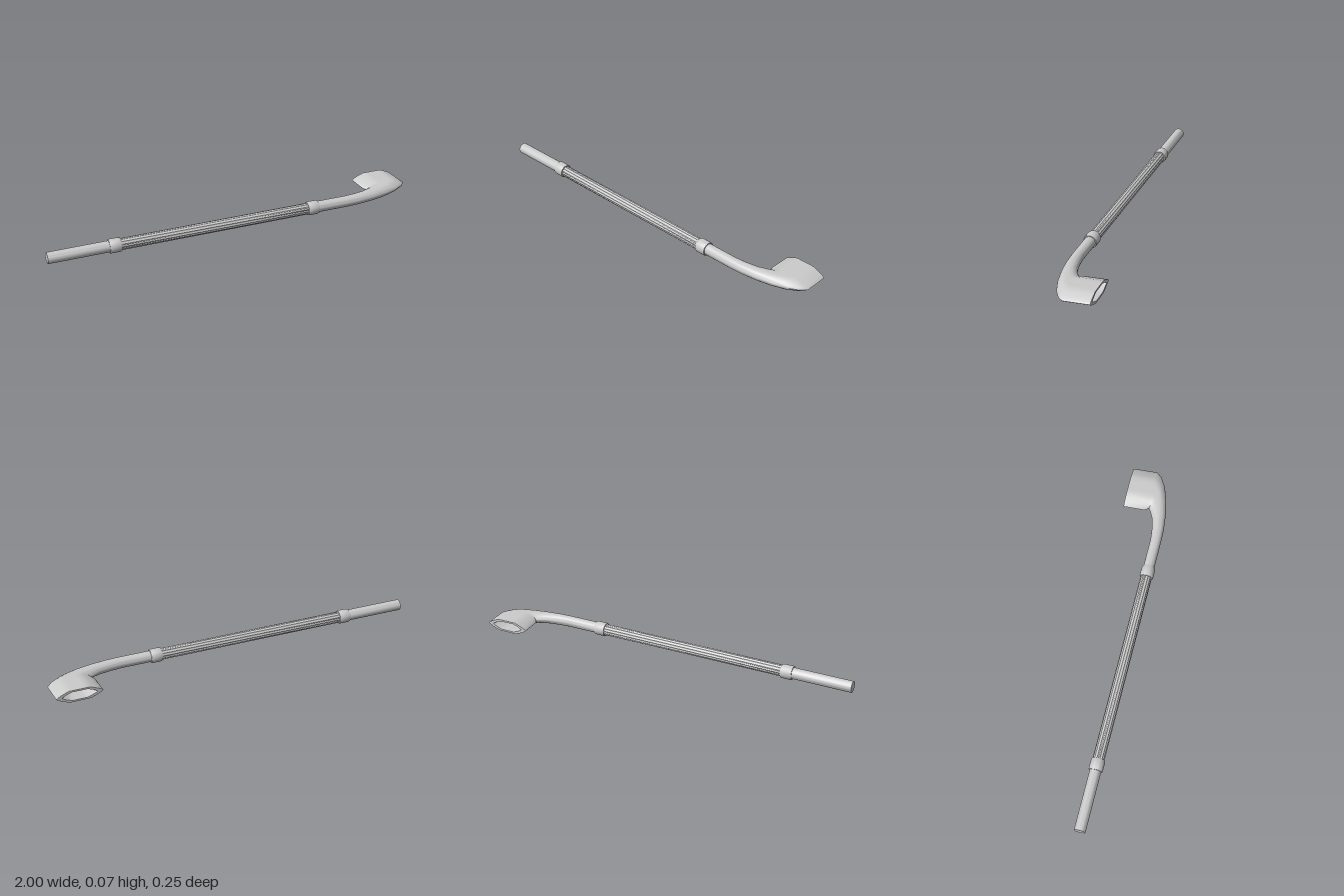
import * as THREE from 'three';
import { toCreasedNormals } from 'three/addons/utils/BufferGeometryUtils.js';

const AXIS_Y = 0.036, AXIS_Z = 0.09, R = 0.029;
const material = new THREE.MeshStandardMaterial({ color: 0xcccccc });

function add(group, name, geometry) {
  const mesh = new THREE.Mesh(toCreasedNormals(geometry, 0.6), material);
  mesh.name = name;
  group.add(mesh);
  return mesh;
}

// Turned part lying along x; profile is [radius, x] pairs
function turned(profile, sides = 24) {
  const pts = profile.map(([r, x]) => new THREE.Vector2(r, x));
  const g = new THREE.LatheGeometry(pts, sides);
  g.rotateZ(-Math.PI / 2);
  g.translate(0, AXIS_Y, AXIS_Z);
  return g;
}

// Loft through sections [ax, az, bx, bz, halfHeight, pointedness],
// where a and b are the inner and outer ends in plan
function loft(sections, sides = 28) {
  const pos = [], index = [];
  for (const [ax, az, bx, bz, h, p] of sections) {
    for (let j = 0; j < sides; j++) {
      const t = (j / sides) * Math.PI * 2;
      const u = Math.cos(t), s = Math.sin(t);
      const lens = Math.min(1, Math.pow(Math.max(0, 1 - Math.abs(u)) / 0.55, 0.75));
      const y = h * ((1 - p) * s + p * Math.sign(s) * lens);
      pos.push((ax + bx) / 2 + (u * (bx - ax)) / 2, AXIS_Y + y, (az + bz) / 2 + (u * (bz - az)) / 2);
    }
  }
  for (let i = 0; i < sections.length - 1; i++) {
    for (let j = 0; j < sides; j++) {
      const k = (j + 1) % sides;
      const a = i * sides + j, b = i * sides + k;
      const c = a + sides, d = b + sides;
      index.push(a, c, b, b, c, d);
    }
  }
  const g = new THREE.BufferGeometry();
  g.setAttribute('position', new THREE.Float32BufferAttribute(pos, 3));
  g.setIndex(index);
  return g;
}

export function createModel() {
  const group = new THREE.Group();
  group.name = 'pipe';

  // Mouthpiece with a closed flat end
  add(group, 'mouthpiece', turned([[0, -1], [R, -1], [R, -0.64]]));

  // Middle stem with shallow lengthwise ridges and a slight twist
  const stem = new THREE.CylinderGeometry(1, 1, 1.06, 28, 1, true);
  const p = stem.attributes.position;
  for (let i = 0; i < p.count; i++) {
    const col = i % 29;
    const r = col % 2 ? R - 0.002 : R + 0.001;
    const a = (col / 28) * Math.PI * 2 + (p.getY(i) > 0 ? 0.12 : 0);
    p.setXYZ(i, r * Math.sin(a), p.getY(i), r * Math.cos(a));
  }
  stem.rotateZ(-Math.PI / 2);
  stem.translate(-0.125, AXIS_Y, AXIS_Z);
  add(group, 'middleStem', stem);

  // Collars covering the two joints
  for (const [name, x] of [['rearCollar', -0.66], ['frontCollar', 0.41]]) {
    add(group, name, turned([
      [0.027, x - 0.03], [0.034, x - 0.03], [0.036, x - 0.024],
      [0.036, x + 0.024], [0.034, x + 0.03], [0.027, x + 0.03],
    ]));
  }

  // Curved shank flowing into the pointed bowl, over the rim and into the cavity
  add(group, 'shankAndBowl', loft([
    [0.40, 0.061, 0.40, 0.119, R, 0],
    [0.60, 0.061, 0.60, 0.119, R, 0],
    [0.66, 0.054, 0.67, 0.117, R, 0],
    [0.72, 0.041, 0.76, 0.107, 0.029, 0.1],
    [0.755, 0.024, 0.85, 0.088, 0.03, 0.3],
    [0.775, 0.01, 0.925, 0.062, 0.031, 0.6],
    [0.768, 0.002, 0.975, 0.032, 0.032, 0.85],
    [0.76, -0.01, 0.997, 0.004, 0.032, 1],
    [0.753, -0.125, 0.988, -0.125, 0.032, 1],
    [0.782, -0.125, 0.959, -0.125, 0.023, 1],
    [0.8, -0.02, 0.95, -0.02, 0.02, 1],
    [0.874, 0.0, 0.876, 0.0, 0.0005, 1],
  ]));

  return group;
}
